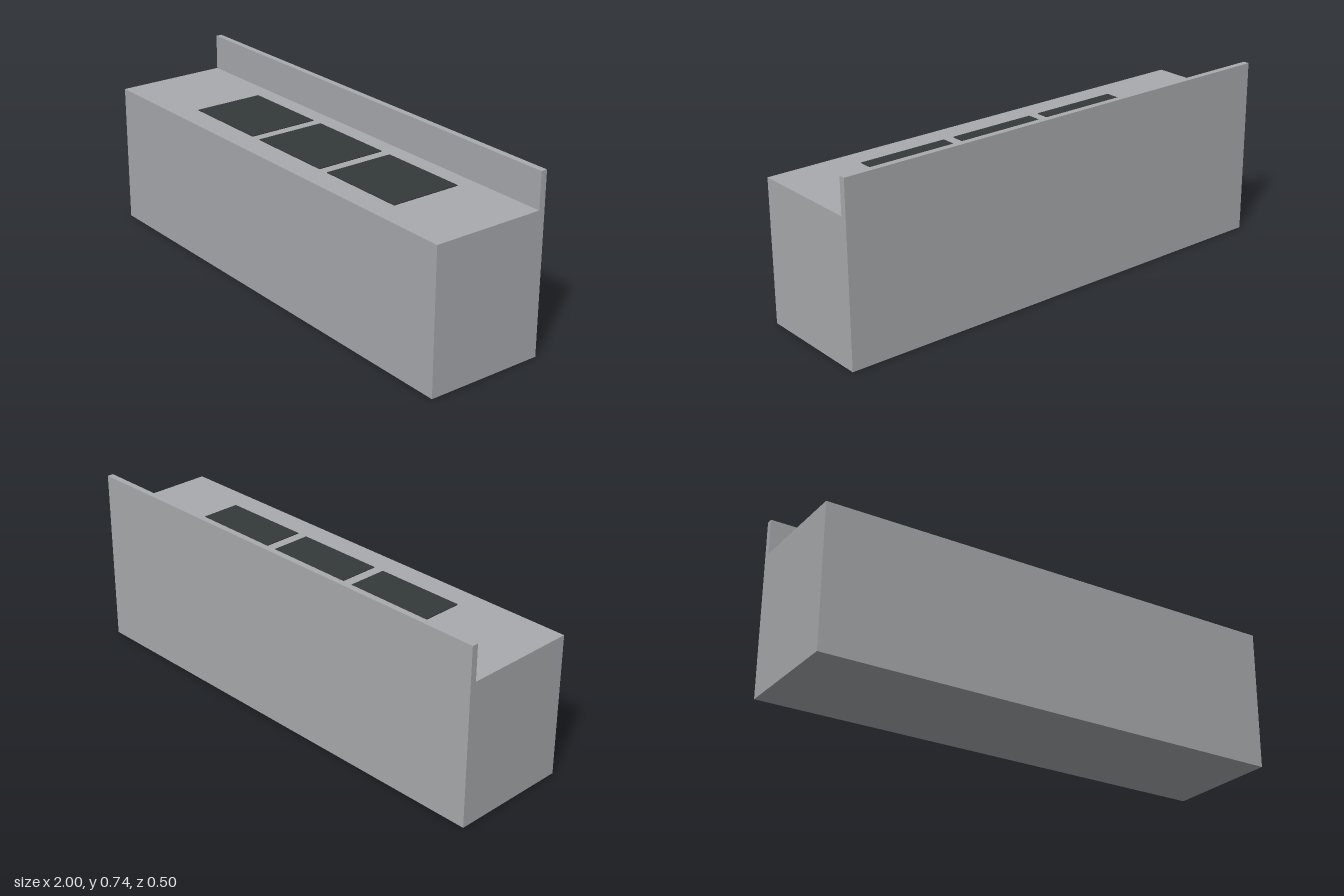
import * as THREE from 'three';

export function createModel() {
  const group = new THREE.Group();
  const steel = new THREE.MeshStandardMaterial({ color: 0xa8aaad });
  steel.name = 'steel grey';
  const dark = new THREE.MeshStandardMaterial({ color: 0x343a39 });
  dark.name = 'dark grey';

  const topY = 0.587, backY = 0.735, halfZ = 0.25, lip = 0.026;

  // Counter body and upstand: one L-shaped side profile (z, y) extruded across x
  const profile = new THREE.Shape([
    [-halfZ, 0], [halfZ, 0], [halfZ, topY],
    [-halfZ + lip, topY], [-halfZ + lip, backY], [-halfZ, backY],
  ].map(([z, y]) => new THREE.Vector2(z, y)));
  const bodyGeometry = new THREE.ExtrudeGeometry(profile, { depth: 2, bevelEnabled: false });
  bodyGeometry.rotateY(-Math.PI / 2).translate(1, 0, 0);
  const body = new THREE.Mesh(bodyGeometry, steel);
  body.name = 'counterBody';
  group.add(body);

  // Three thin dark panels set on the worktop, slightly off centre
  const thickness = 0.003;
  const panelGeometry = new THREE.BoxGeometry(0.384, thickness, 0.3);
  for (let i = 0; i < 3; i++) {
    const panel = new THREE.Mesh(panelGeometry, dark);
    panel.name = `topPanel${i + 1}`;
    panel.position.set(0.038 + (i - 1) * 0.43, topY + thickness / 2, 0);
    group.add(panel);
  }
  return group;
}
